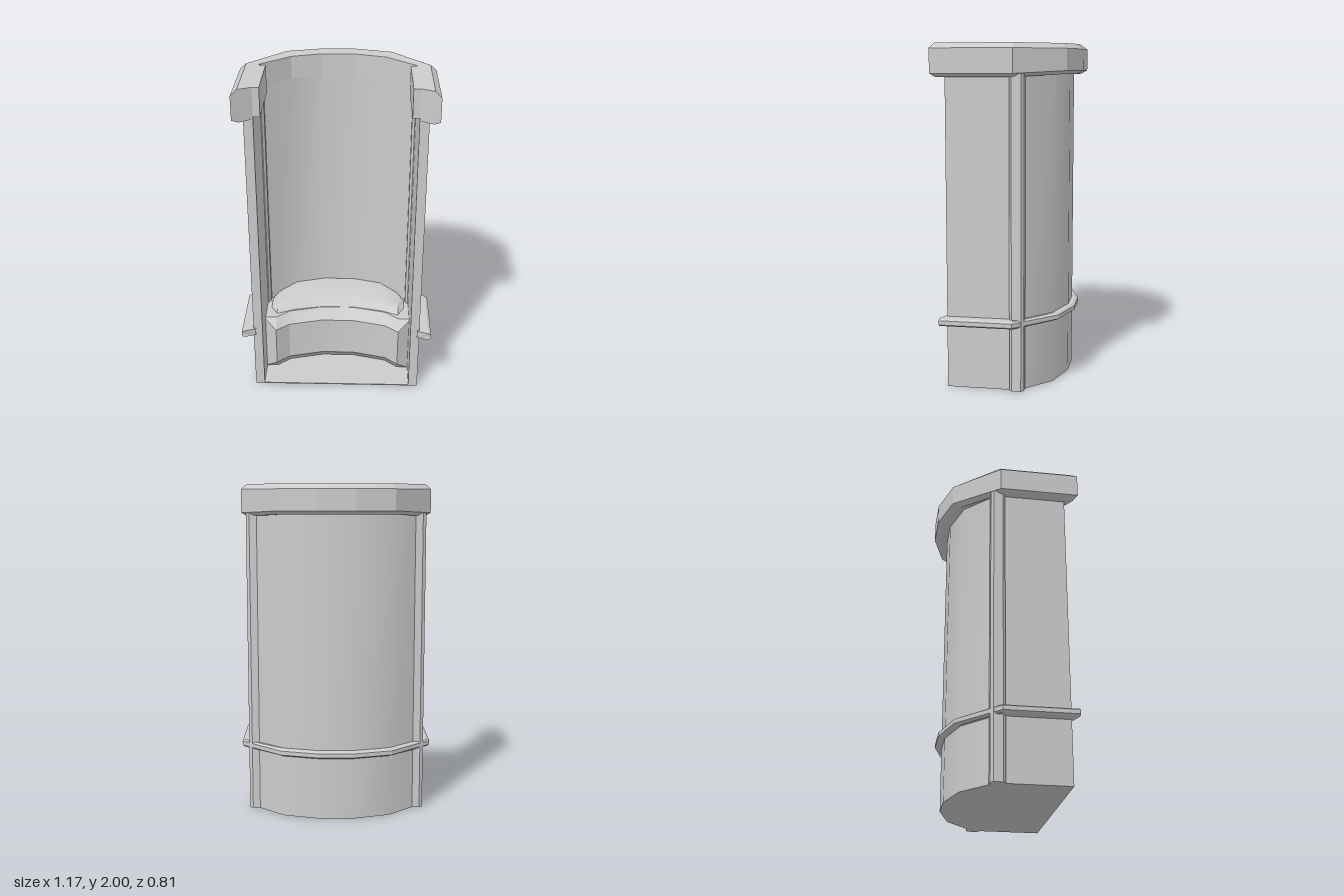
import * as THREE from 'three';
import { toCreasedNormals } from 'three/addons/utils/BufferGeometryUtils.js';

const material = new THREE.MeshStandardMaterial({ color: 0xcccccc, side: THREE.DoubleSide });

// Skins a row of closed cross-sections (arrays of [x, y, z]) and caps both ends.
function loft(name, sections, crease) {
  const n = sections[0].length, last = sections.length - 1;
  const index = [];
  for (let i = 0; i < last; i++) {
    for (let j = 0; j < n; j++) {
      const a = i * n + j, b = i * n + (j + 1) % n;
      index.push(a, a + n, b + n, a, b + n, b);
    }
  }
  for (let j = 1; j < n - 1; j++) {
    index.push(0, j, j + 1, last * n, last * n + j + 1, last * n + j);
  }
  const geometry = new THREE.BufferGeometry();
  geometry.setAttribute('position', new THREE.Float32BufferAttribute(sections.flat(2), 3));
  geometry.setIndex(index);
  const mesh = new THREE.Mesh(toCreasedNormals(geometry, crease), material);
  mesh.name = name;
  return mesh;
}

// Adds the -x half of a row of sections.
function mirrored(half) {
  return [...half, ...half.slice().reverse().map(s => s.map(([x, y, z]) => [-x, y, z]))];
}

// Extrudes a plan outline of [x, z] points from y = 0 upwards.
function slab(name, plan, height) {
  const shape = new THREE.Shape(plan.map(([x, z]) => new THREE.Vector2(x, z)));
  const geometry = new THREE.ExtrudeGeometry(shape, { depth: height, bevelEnabled: false });
  geometry.rotateX(Math.PI / 2).translate(0, height, 0);
  const mesh = new THREE.Mesh(geometry, material);
  mesh.name = name;
  return mesh;
}

export function createModel() {
  const model = new THREE.Group();

  // Plan outlines of the wall, from the +x front end to the middle of the back
  const outer = [[0.515, 0.33], [0.515, -0.09], [0.32, -0.265], [0.1, -0.33]];
  const inner = [[0.46, 0.33], [0.46, -0.07], [0.285, -0.225], [0.1, -0.28]];

  // Curved wall
  model.add(loft('wall', mirrored(outer.map(([ox, oz], i) => {
    const [ix, iz] = inner[i];
    return [[ix, 0, iz], [ox, 0, oz], [ox, 1.86, oz], [ix, 1.86, iz]];
  })), 0.65));

  // Floor plate
  const floorPlan = [...outer, ...outer.slice().reverse().map(([x, z]) => [-x, z])];
  model.add(slab('floor', floorPlan, 0.006));

  // Corner pillars
  for (const side of [1, -1]) {
    const plan = [[0.44, -0.06], [0.455, -0.04], [0.525, -0.04], [0.54, -0.055],
      [0.54, -0.11], [0.52, -0.125], [0.46, -0.125], [0.44, -0.1]];
    model.add(slab('cornerPillar', plan.map(([x, z]) => [x * side, z]), 1.83));
  }

  // Heavy rim with chamfered edges: outer, top edge and inner plans
  const rimOuter = [[0.57, 0.405], [0.57, -0.07], [0.34, -0.34], [0.11, -0.41]];
  const rimTop = [[0.535, 0.38], [0.535, -0.07], [0.315, -0.315], [0.1, -0.372]];
  const rimInner = [[0.46, 0.33], [0.46, -0.07], [0.285, -0.225], [0.1, -0.28]];
  const rimLow = [1.81, 1.81, 1.825, 1.825];
  model.add(loft('rim', mirrored(rimOuter.map(([ox, oz], i) => {
    const [tx, tz] = rimTop[i], [ix, iz] = rimInner[i], y = rimLow[i];
    return [[ix, y, iz], [tx, y, tz], [ox, y + 0.02, oz], [ox, 1.97, oz], [tx, 2, tz], [ix, 1.995, iz]];
  })), 0.2));

  // Inner lip on the two rim arms
  for (const side of [1, -1]) {
    const lip = new THREE.Mesh(new THREE.BoxGeometry(0.05, 0.17, 0.39), material);
    lip.name = 'rimLip';
    lip.position.set(side * 0.445, 1.91, 0.135);
    model.add(lip);
  }

  // Thin band round the outside
  const bandPlan = [[0.585, 0.365], [0.585, -0.065], [0.335, -0.3], [0.105, -0.368]];
  model.add(loft('band', mirrored(bandPlan.map(([x, z], i) => {
    const [ix, iz] = [outer[i][0] - 0.015, i ? outer[i][1] + 0.015 : 0.34];
    const bx = x - 0.015, bz = i > 1 ? z + 0.015 : z;
    return [[ix, 0.38, iz], [bx, 0.38, bz], [x, 0.39, z], [x, 0.415, z], [bx, 0.425, bz], [ix, 0.425, iz]];
  })), 0.2));

  // Seat base with a bevelled, curved front panel: [x, front z, back z]
  const seatPlan = [[0.39, 0.2, -0.12], [0.31, 0.13, -0.22], [0.1, 0.075, -0.29]];
  const seatEnd = [[0, 0.14], [0, -0.08], [0.38, -0.08], [0.38, 0.14], [0.38, 0.14], [0, 0.14]]
    .map(([y, z]) => [0.47, y, z]);
  model.add(loft('seatBase', mirrored([seatEnd, ...seatPlan.map(([x, f, b]) => [
    [x, 0, f - 0.065], [x, 0, b], [x, 0.38, b], [x, 0.38, f - 0.065], [x, 0.32, f], [x, 0.07, f],
  ])]), 0.45));

  // Softly rounded cushion: [x, front z, back z, height]
  const cushionPlan = [[0.43, 0.03, -0.07, 0.008], [0.39, 0.1, -0.12, 0.035],
    [0.28, 0.05, -0.22, 0.048], [0.1, 0.01, -0.27, 0.05]];
  model.add(loft('cushion', mirrored(cushionPlan.map(([x, f, b, h]) => [
    [x, 0.375, f], [x, 0.375, b], [x, 0.38 + h, b], [x, 0.38 + h, f - 0.09], [x, 0.38 + h * 0.6, f - 0.03],
  ])), 0.8));

  return model;
}
